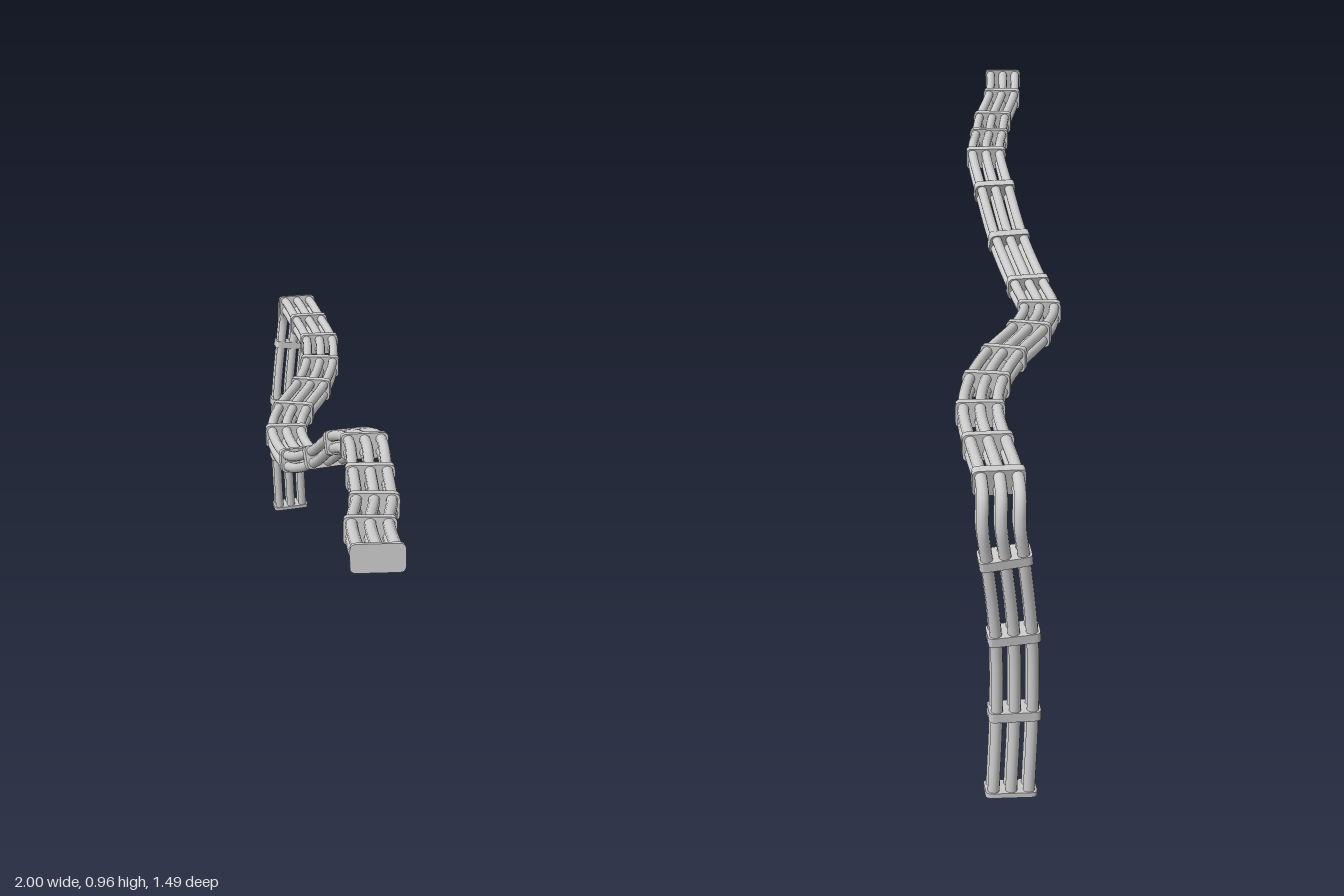
import * as THREE from 'three';

// Route of the bundle: x, y, z, and 1 where a clamp sits
const ROUTE = [
  [-0.943, 0.01, -0.67, 1], [-0.942, 0.18, -0.661, 1], [-0.945, 0.35, -0.665, 1],
  [-0.952, 0.52, -0.69, 1], [-0.955, 0.595, -0.702, 0], [-0.944, 0.638, -0.693, 0],
  [-0.905, 0.656, -0.67, 1], [-0.755, 0.656, -0.588, 1], [-0.605, 0.656, -0.5, 1],
  [-0.47, 0.654, -0.388, 1], [-0.355, 0.653, -0.26, 1], [-0.252, 0.652, -0.115, 1],
  [-0.145, 0.652, -0.005, 1], [0.01, 0.66, 0.077, 1], [0.162, 0.73, 0.13, 1],
  [0.295, 0.82, 0.182, 1], [0.43, 0.87, 0.252, 1], [0.575, 0.876, 0.365, 1],
  [0.705, 0.885, 0.47, 1], [0.83, 0.912, 0.592, 1], [0.963, 0.933, 0.692, 1],
];
const BEND = 6; // route index where the level run begins
const LAST = ROUTE.length - 1;
const path = new THREE.CatmullRomCurve3(ROUTE.map(([x, y, z]) => new THREE.Vector3(x, y, z)));

// Frame whose width axis stays level; the riser keeps the heading of the level run
function frameAt(t) {
  const tangent = path.getTangent(t);
  const heading = path.getTangent(Math.max(t, (BEND + 0.3) / LAST));
  const side = new THREE.Vector3(heading.z, 0, -heading.x);
  side.addScaledVector(tangent, -side.dot(tangent)).normalize();
  const up = new THREE.Vector3().crossVectors(tangent, side);
  return { point: path.getPoint(t), side, up, tangent };
}

// Rounded plate, extruded along z and centred
function plateGeometry(w, h, r, depth) {
  const x = w / 2, y = h / 2;
  const s = new THREE.Shape();
  s.moveTo(-x + r, -y).lineTo(x - r, -y).quadraticCurveTo(x, -y, x, -y + r)
    .lineTo(x, y - r).quadraticCurveTo(x, y, x - r, y)
    .lineTo(-x + r, y).quadraticCurveTo(-x, y, -x, y - r)
    .lineTo(-x, -y + r).quadraticCurveTo(-x, -y, -x + r, -y);
  const g = new THREE.ExtrudeGeometry(s, { depth, bevelEnabled: false, curveSegments: 4 });
  return g.translate(0, 0, -depth / 2);
}

export function createModel() {
  const group = new THREE.Group();
  const material = new THREE.MeshStandardMaterial({ color: 0xcccccc });

  // Six pipes: three across, two deep
  const frames = [];
  const steps = LAST * 8;
  for (let i = 0; i <= steps; i++) frames.push(frameAt(i / steps));
  for (const a of [-1, 0, 1]) {
    for (const b of [-0.5, 0.5]) {
      const curve = new THREE.CatmullRomCurve3(frames.map((f) => f.point.clone()
        .addScaledVector(f.side, a * 0.035).addScaledVector(f.up, b * 0.027)));
      curve.arcLengthDivisions = 800;
      const pipe = new THREE.Mesh(new THREE.TubeGeometry(curve, 220, 0.0118, 12), material);
      pipe.name = 'pipe';
      group.add(pipe);
    }
  }

  // Clamps along the route and thinner plates closing both ends
  const clamp = plateGeometry(0.102, 0.055, 0.012, 0.019);
  const cap = plateGeometry(0.102, 0.055, 0.012, 0.01);
  ROUTE.forEach((p, i) => {
    if (!p[3]) return;
    const isEnd = i === 0 || i === LAST;
    const f = frameAt(i / LAST);
    const mesh = new THREE.Mesh(isEnd ? cap : clamp, material);
    mesh.name = isEnd ? 'endPlate' : 'clamp';
    mesh.position.copy(f.point);
    mesh.quaternion.setFromRotationMatrix(new THREE.Matrix4().makeBasis(f.side, f.up, f.tangent));
    group.add(mesh);
  });

  return group;
}
